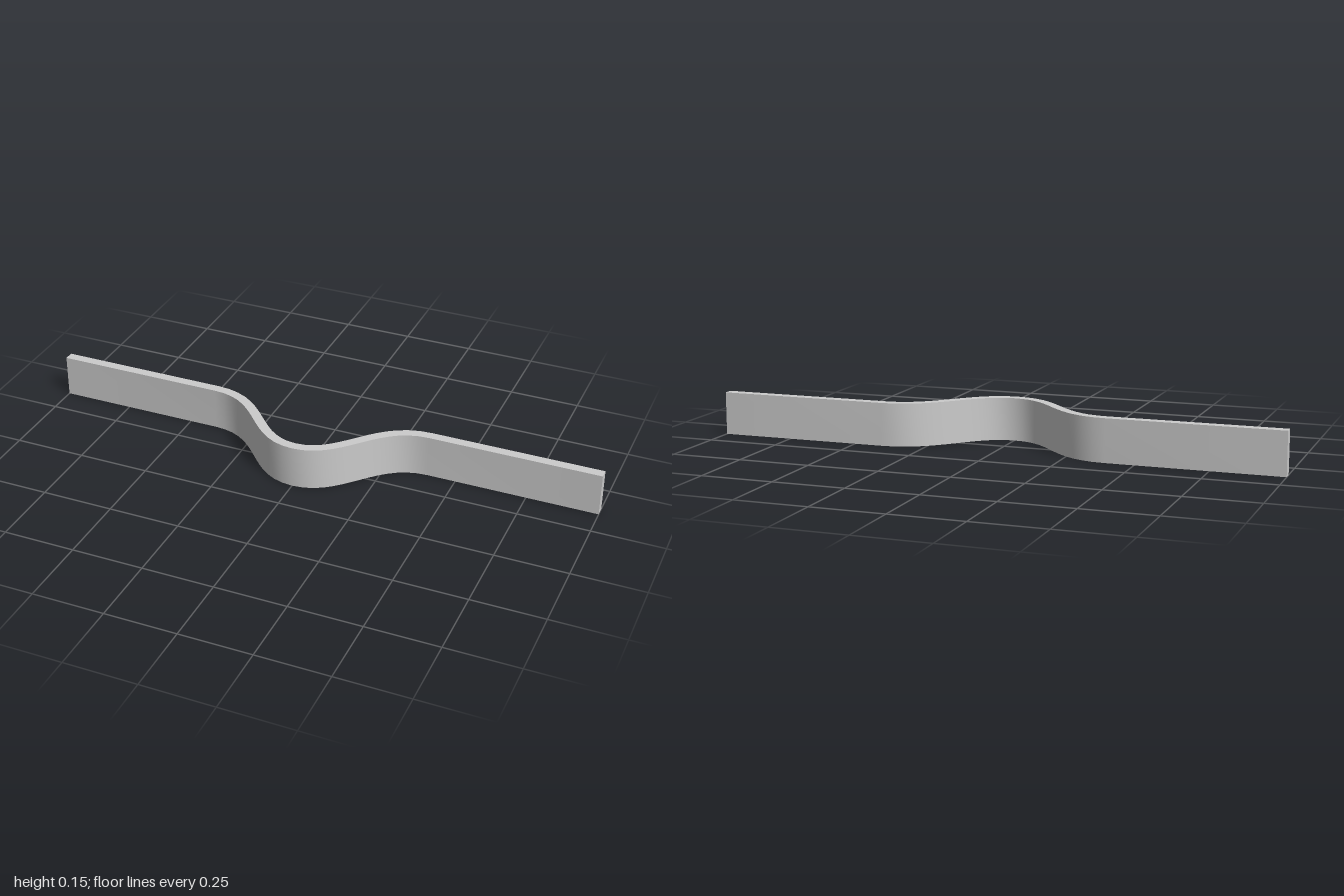
import * as THREE from 'three';
import { toCreasedNormals } from 'three/addons/utils/BufferGeometryUtils.js';

const HEIGHT = 0.15, HALF = 0.017, DEPTH = 0.12;

export function createModel() {
  const group = new THREE.Group();

  // Half of the centre line, from the flat arm to the middle of the bulge (y is -z)
  const bend = new THREE.CubicBezierCurve(
    new THREE.Vector2(-0.4, DEPTH), new THREE.Vector2(-0.2, DEPTH),
    new THREE.Vector2(-0.17, -DEPTH), new THREE.Vector2(0, -DEPTH));

  // Offset the bend to one side, add the straight arm and mirror it
  const edge = (offset) => {
    const half = [new THREE.Vector2(-1, DEPTH + offset)];
    for (let i = 0; i <= 14; i++) {
      const t = bend.getTangent(i / 14);
      half.push(bend.getPoint(i / 14).add(new THREE.Vector2(-t.y, t.x).multiplyScalar(offset)));
    }
    const mirrored = half.slice(0, -1).reverse().map((p) => new THREE.Vector2(-p.x, p.y));
    return [...half, ...mirrored];
  };

  // Band: the outline extruded upwards
  const outline = new THREE.Shape([...edge(-HALF), ...edge(HALF).reverse()]);
  const geometry = new THREE.ExtrudeGeometry(outline, { depth: HEIGHT, bevelEnabled: false });
  geometry.rotateX(-Math.PI / 2);
  const band = new THREE.Mesh(
    toCreasedNormals(geometry, 0.6),
    new THREE.MeshStandardMaterial({ color: 0xcccccc }));
  band.name = 'bentBand';
  group.add(band);
  return group;
}
